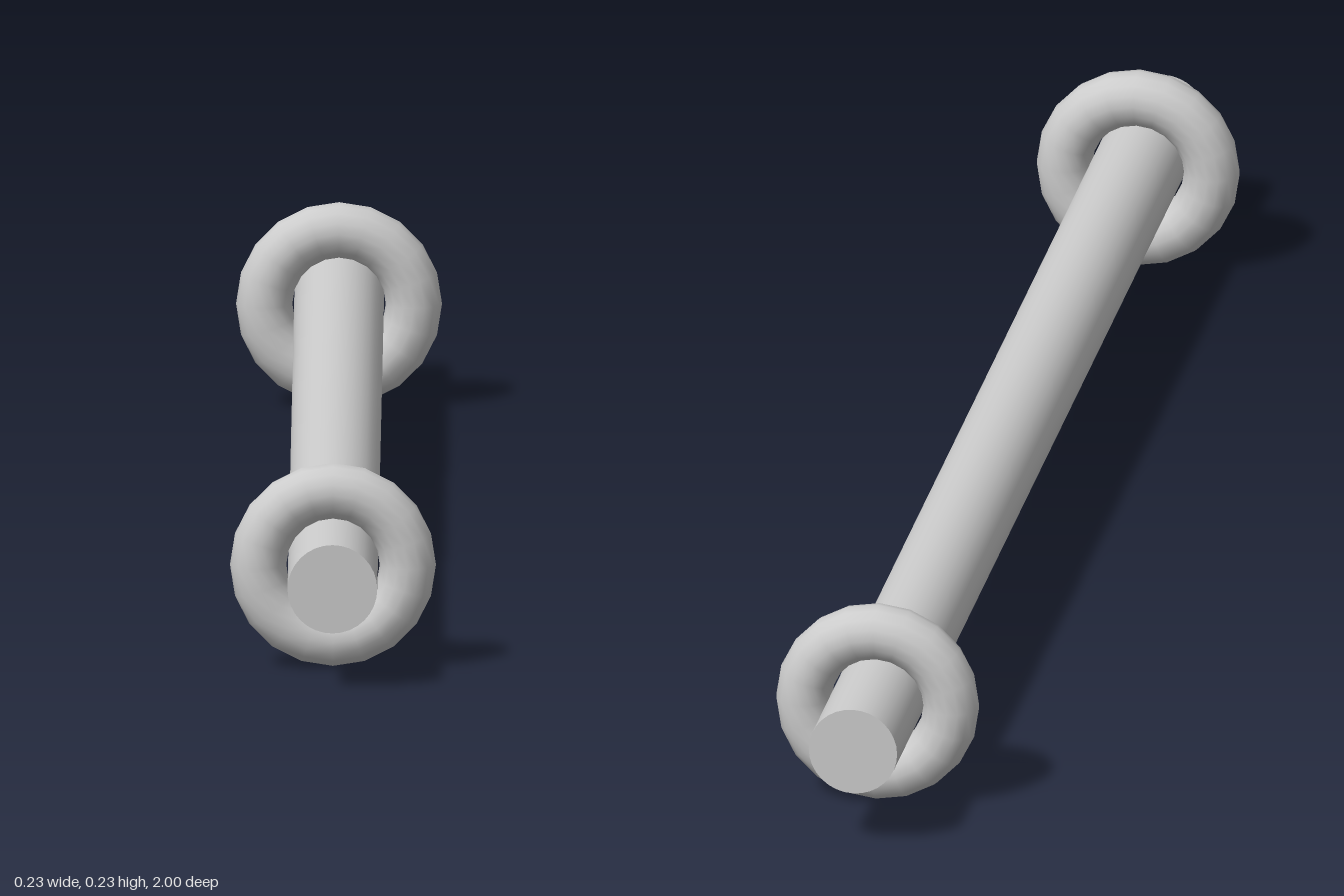
import * as THREE from 'three';

export function createModel() {
  const group = new THREE.Group();
  const material = new THREE.MeshStandardMaterial({ color: 0xcccccc });
  const ringRadius = 0.085, tubeRadius = 0.032;
  const axisY = ringRadius + tubeRadius;

  // Long round bar along z
  const bar = new THREE.Mesh(new THREE.CylinderGeometry(0.051, 0.051, 2, 32), material);
  bar.name = 'bar';
  bar.rotation.x = Math.PI / 2;
  bar.position.y = axisY;
  group.add(bar);

  // A loose ring around the bar near each end
  const ringGeometry = new THREE.TorusGeometry(ringRadius, tubeRadius, 16, 20);
  for (const [name, z] of [['frontRing', 0.84], ['backRing', -0.84]]) {
    const ring = new THREE.Mesh(ringGeometry, material);
    ring.name = name;
    ring.position.set(0, axisY, z);
    group.add(ring);
  }

  return group;
}
